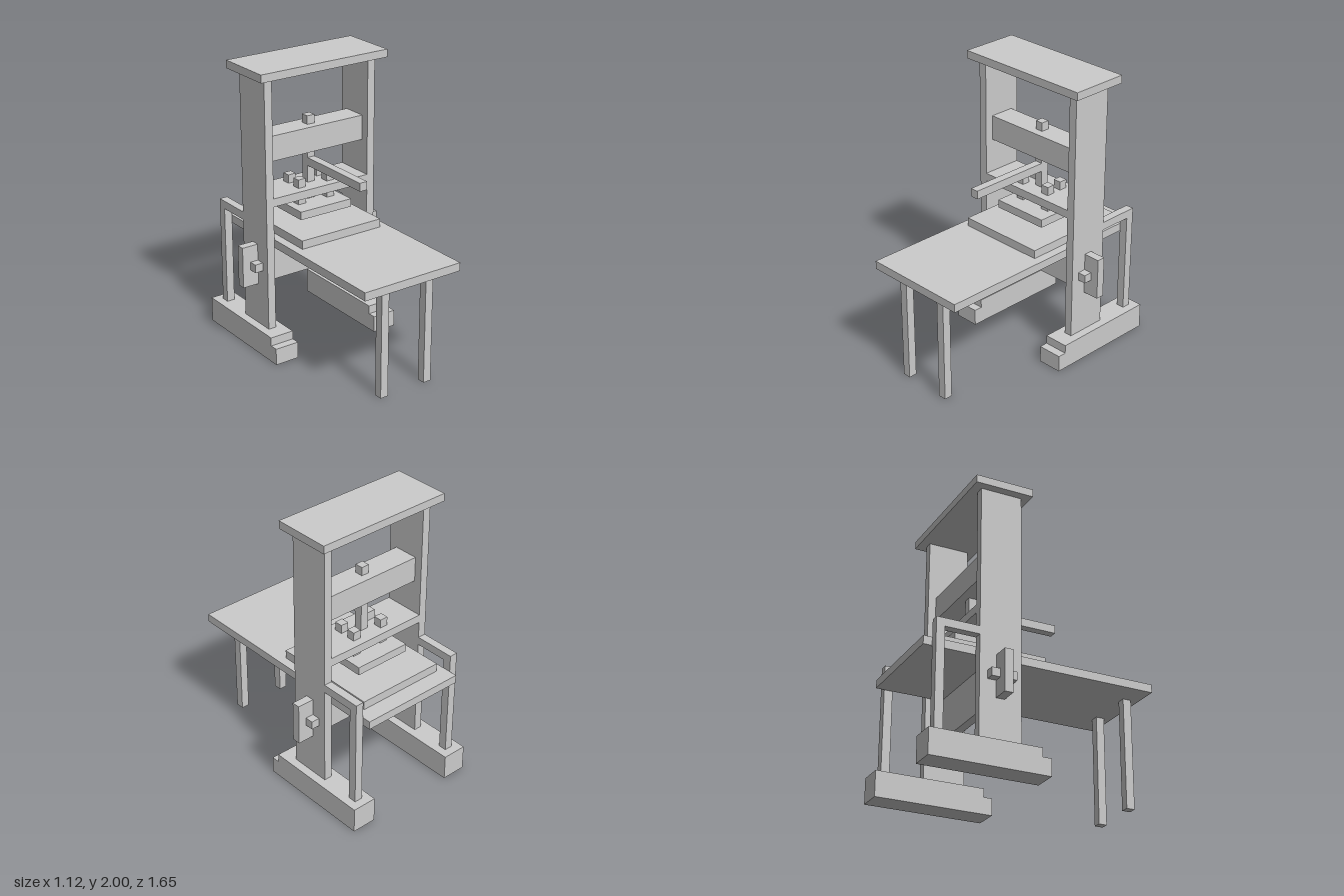
import * as THREE from 'three';

export function createModel() {
  const model = new THREE.Group();
  model.name = 'handPress';
  const material = new THREE.MeshStandardMaterial({ color: 0xcccccc, flatShading: true });

  // Block given by its extents along each axis
  function block(name, [x0, x1], [y0, y1], [z0, z1]) {
    const mesh = new THREE.Mesh(new THREE.BoxGeometry(x1 - x0, y1 - y0, z1 - z0), material);
    mesh.position.set((x0 + x1) / 2, (y0 + y1) / 2, (z0 + z1) / 2);
    mesh.name = name;
    model.add(mesh);
  }

  // Same block on the left (+x) and right (-x)
  function pair(name, [x0, x1], y, z) {
    block(name + 'Left', [x0, x1], y, z);
    block(name + 'Right', [-x1, -x0], y, z);
  }

  // Stepped feet: side profile extruded across x
  const profile = new THREE.Shape([
    [0, 0], [0.824, 0], [0.824, 0.178], [0.06, 0.178], [0.06, 0.118], [0, 0.118],
  ].map(([x, y]) => new THREE.Vector2(x, y)));
  const footGeometry = new THREE.ExtrudeGeometry(profile, { depth: 0.176, bevelEnabled: false });
  footGeometry.rotateY(Math.PI / 2);
  for (const [name, x] of [['footLeft', 0.324], ['footRight', -0.5]]) {
    const foot = new THREE.Mesh(footGeometry, material);
    foot.name = name;
    foot.position.x = x;
    model.add(foot);
  }

  // Main frame
  pair('upright', [0.383, 0.441], [0.178, 1.945], [-0.468, -0.176]);
  block('cap', [-0.5, 0.5], [1.945, 2], [-0.53, -0.118]);
  block('headBeam', [-0.383, 0.383], [1.355, 1.53], [-0.412, -0.235]);
  block('guideShelf', [-0.383, 0.383], [1.06, 1.118], [-0.468, -0.176]);

  // Tie beam with through tenons and locking pegs
  block('tieBeam', [-0.56, 0.56], [0.475, 0.767], [-0.353, -0.294]);
  pair('peg', [0.441, 0.5], [0.592, 0.65], [-0.412, -0.235]);

  // Rear supports
  pair('rearPost', [0.383, 0.441], [0.178, 0.943], [-0.765, -0.706]);
  pair('rearArm', [0.383, 0.441], [0.886, 0.943], [-0.706, -0.468]);

  // Table and bed
  block('table', [-0.381, 0.381], [0.767, 0.825], [-0.824, 0.824]);
  block('bed', [-0.32, 0.32], [0.825, 0.884], [-0.706, 0.06]);
  pair('tableLeg', [0.148, 0.206], [0, 0.767], [0.708, 0.767]);

  // Pressing plate, guide rods, screw and handle
  block('pressPlate', [-0.206, 0.206], [0.943, 1], [-0.53, -0.118]);
  pair('frontGuideRod', [0.087, 0.146], [1, 1.178], [-0.294, -0.235]);
  pair('backGuideRod', [0.087, 0.146], [1, 1.178], [-0.412, -0.353]);
  block('screw', [-0.029, 0.029], [1, 1.59], [-0.353, -0.294]);
  block('handle', [-0.029, 0.029], [1.238, 1.296], [-0.294, 0.294]);

  return model;
}
